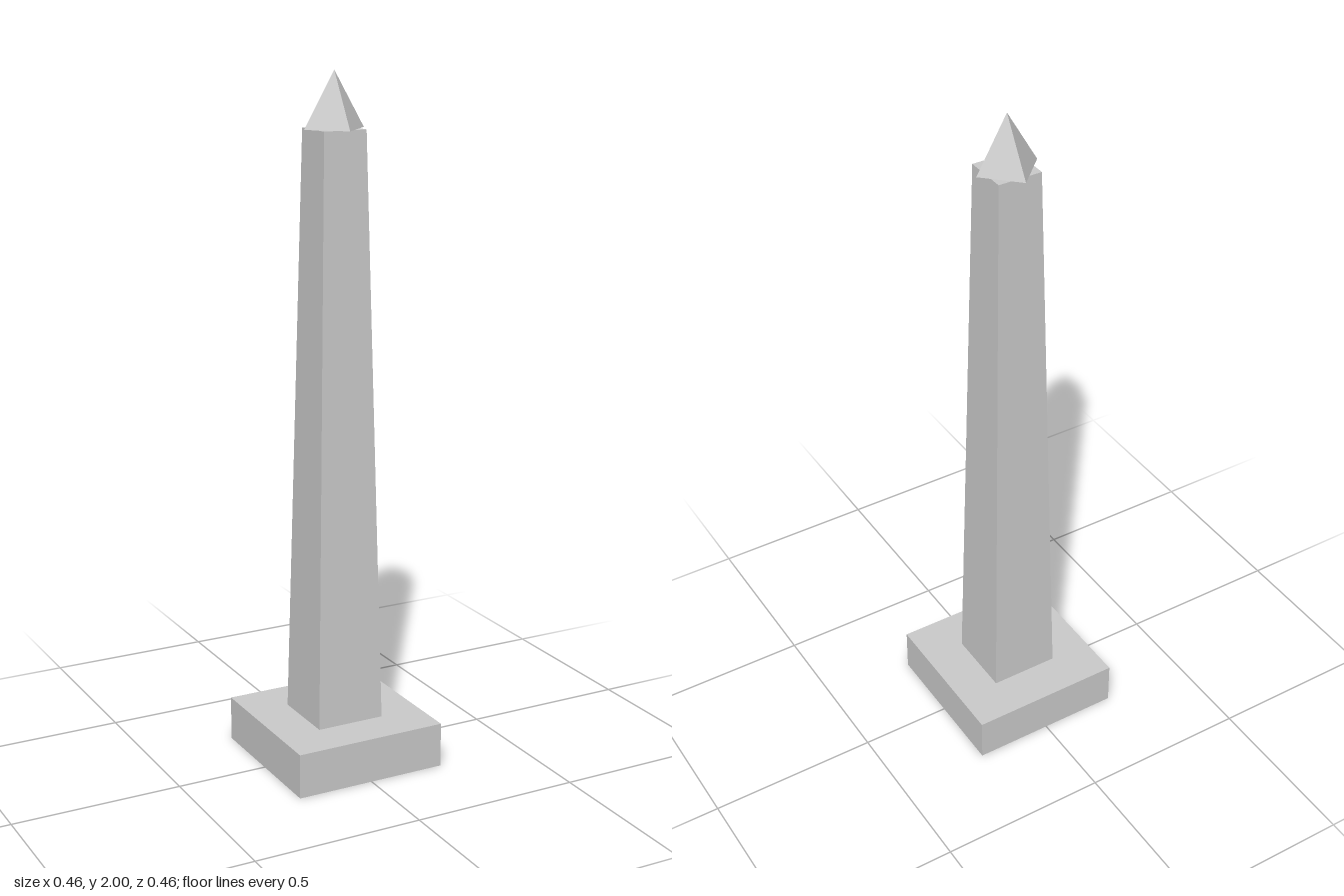
import * as THREE from 'three';

export function createModel() {
  const group = new THREE.Group();
  group.name = 'obelisk';

  const stone = new THREE.MeshStandardMaterial({ color: 0xcccccc, flatShading: true });
  stone.name = 'stone grey';

  const BASE = 0.132, SHAFT_TOP = 1.842, TOP = 2;

  // Adds a part resting on the given height
  function addPart(name, geometry, bottom, height) {
    const mesh = new THREE.Mesh(geometry, stone);
    mesh.name = name;
    mesh.position.y = bottom + height / 2;
    group.add(mesh);
  }

  // Square plinth
  addPart('plinth', new THREE.BoxGeometry(0.46, BASE, 0.46), 0, BASE);

  // Tapered four-sided shaft, turned so its faces meet the axes
  const shaftHeight = SHAFT_TOP - BASE;
  const shaft = new THREE.CylinderGeometry(0.065 * Math.SQRT2, 0.103 * Math.SQRT2, shaftHeight, 4);
  shaft.rotateY(Math.PI / 4);
  addPart('shaft', shaft, BASE, shaftHeight);

  // Pyramid cap, set diagonally so its corners overhang the shaft faces
  const capHeight = TOP - SHAFT_TOP;
  addPart('cap', new THREE.ConeGeometry(0.092, capHeight, 4), SHAFT_TOP, capHeight);

  return group;
}
